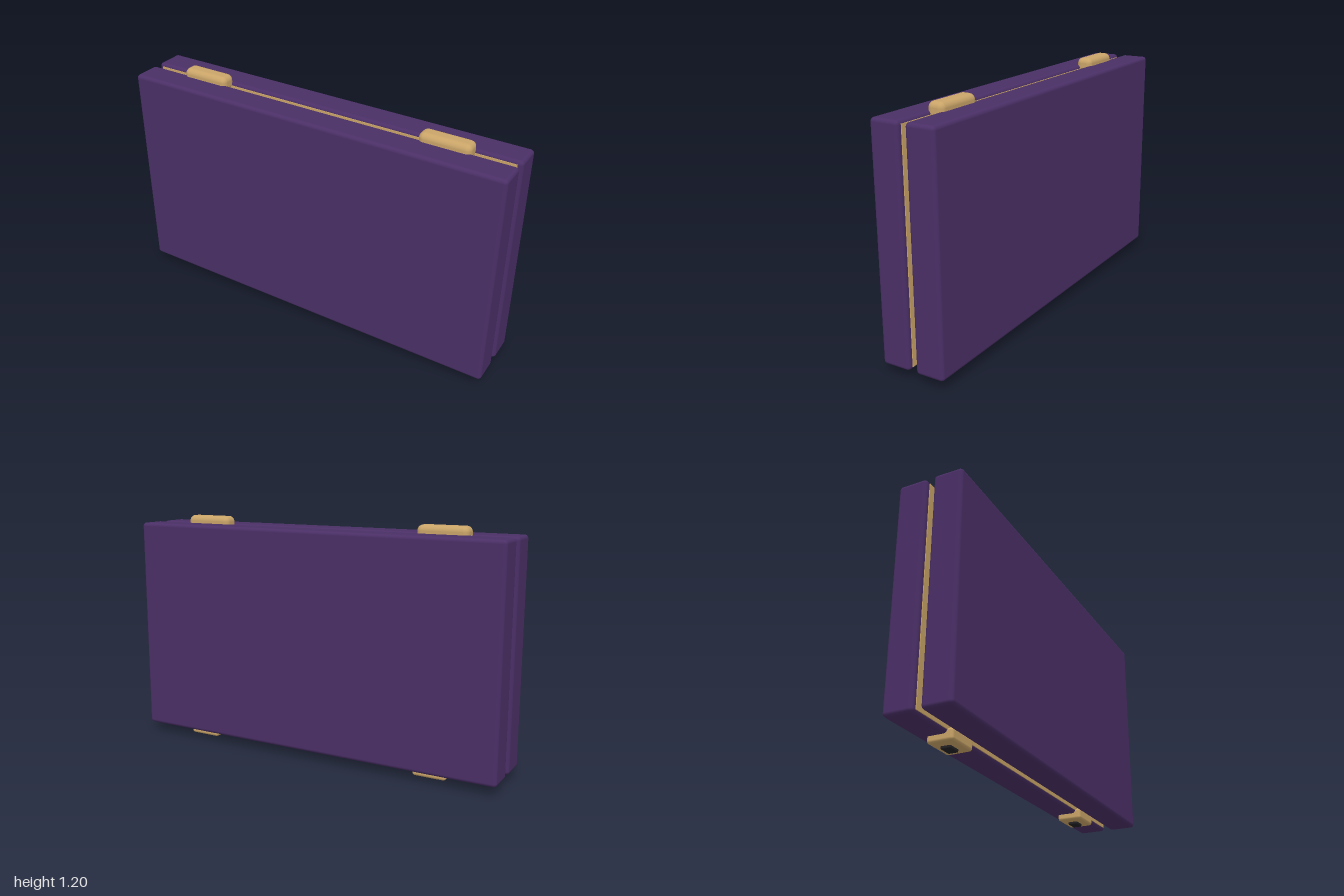
import * as THREE from 'three';
import { RoundedBoxGeometry } from 'three/addons/geometries/RoundedBoxGeometry.js';

const mat = (name, color) => {
  const m = new THREE.MeshStandardMaterial({ color });
  m.name = name;
  return m;
};

export function createModel() {
  const purple = mat('purple shell', 0x4a2f66);
  const gold = mat('brass', 0xc9a468);
  const black = mat('black button', 0x222024);
  const root = new THREE.Group();
  root.name = 'foldingCase';

  // Rounded box given by its min and max corners
  const box = (parent, name, material, [x0, y0, z0], [x1, y1, z1], r) => {
    const mesh = new THREE.Mesh(new RoundedBoxGeometry(x1 - x0, y1 - y0, z1 - z0, 4, r), material);
    mesh.position.set((x0 + x1) / 2, (y0 + y1) / 2, (z0 + z1) / 2);
    mesh.name = name;
    parent.add(mesh);
  };

  // Flat rectangular ring with a hole, lying in the xy plane
  const frame = (w, h, border, depth) => {
    const rect = (C, a, b) => new C([[-a, -b], [a, -b], [a, b], [-a, b]].map(p => new THREE.Vector2(...p)));
    const shape = rect(THREE.Shape, w / 2, h / 2);
    shape.holes.push(rect(THREE.Path, w / 2 - border, h / 2 - border));
    return new THREE.ExtrudeGeometry(shape, { depth, bevelEnabled: false });
  };

  // Tray: floor panel, four rim walls and a brass trim facing the gap
  const B = 0.045, T = 1.155, IN = 0.018, OUT = 0.163, W = 0.05;
  const makeTray = (name) => {
    const tray = new THREE.Group();
    tray.name = name;
    box(tray, 'floorPanel', purple, [-1, B, 0.118], [1, T, OUT], 0.018);
    for (const [wall, x] of [['leftWall', 1 - W], ['rightWall', -1]])
      box(tray, wall, purple, [x, B, IN], [x + W, T, OUT], 0.018);
    for (const [wall, y] of [['bottomWall', B], ['topWall', T - W]])
      box(tray, wall, purple, [-0.99, y, IN], [0.99, y + W, OUT], 0.018);
    const trim = new THREE.Mesh(frame(1.95, 1.08, 0.04, 0.012), gold);
    trim.position.set(0, (B + T) / 2, 0.014);
    trim.name = 'rimTrim';
    tray.add(trim);
    root.add(tray);
    return tray;
  };
  makeTray('frontTray');
  makeTray('backTray').rotation.y = Math.PI;

  // Hinges on top, latches with push buttons below
  for (const [side, s] of [['left', 1], ['right', -1]]) {
    const x = s * 0.656;
    box(root, side + 'Hinge', gold, [x - 0.127, 1.118, -0.042], [x + 0.127, 1.195, 0.042], 0.028);
    box(root, side + 'Latch', gold, [x - 0.085, 0.013, -0.119], [x + 0.085, 0.07, 0.01], 0.014);
    box(root, side + 'LatchButton', black, [x - 0.034, 0, -0.08], [x + 0.034, 0.03, -0.031], 0.005);
  }
  return root;
}
